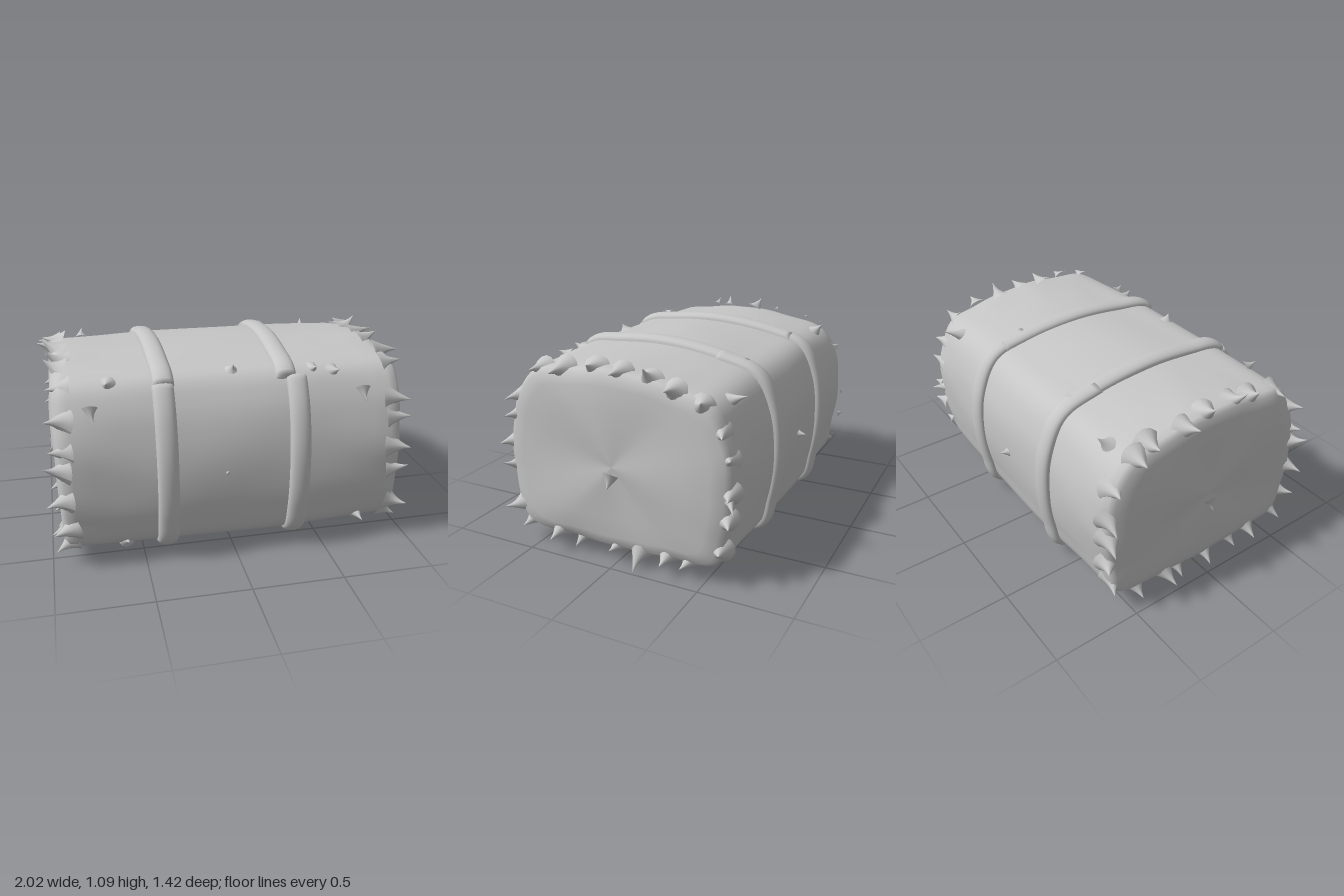
import * as THREE from 'three';
import { mergeGeometries } from 'three/addons/utils/BufferGeometryUtils.js';

const MID_Y = 0.53;

// Bale cross-section as (z, y) pairs, running along the bottom, up the back, over the top and down the front
const profile = new THREE.CatmullRomCurve3([
  [0.59, 0.088], [0.3, 0.06], [0, 0.042], [-0.3, 0.058], [-0.578, 0.088], [-0.63, 0.25], [-0.66, 0.5],
  [-0.635, 0.74], [-0.54, 0.925], [-0.35, 0.99], [0, 1.035], [0.3, 1.02], [0.5, 0.985],
  [0.59, 0.87], [0.65, 0.7], [0.675, 0.5], [0.655, 0.25],
].map(([z, y]) => new THREE.Vector3(0, y, z)), true, 'centripetal');

function outward(u) {
  const t = profile.getTangentAt(u);
  return new THREE.Vector3(0, t.z, -t.y).normalize();
}

function seeded(seed) {
  return () => (seed = (seed * 16807) % 2147483647) / 2147483647;
}

// Surface through rows of closed loops stacked towards +x
function loft(rows, cols, pointAt) {
  const pos = [], index = [];
  for (let i = 0; i < rows; i++) {
    for (let j = 0; j < cols; j++) {
      pos.push(...pointAt(i, j / cols).toArray());
      if (i === rows - 1) continue;
      const a = i * cols + j, b = i * cols + (j + 1) % cols;
      index.push(a, b, a + cols, b, b + cols, a + cols);
    }
  }
  const geo = new THREE.BufferGeometry();
  geo.setAttribute('position', new THREE.Float32BufferAttribute(pos, 3));
  geo.setIndex(index);
  geo.computeVertexNormals();
  return geo;
}

// Bale with slightly domed ends and soft wrinkles
function baleGeometry() {
  const half = [[0.95, 0], [0.95, 0.3], [0.948, 0.6], [0.942, 0.82], [0.93, 0.925], [0.905, 0.965], [0.86, 0.977],
    [0.76, 0.982], [0.62, 0.987], [0.48, 0.993], [0.32, 1], [0.16, 1.003]];
  const rows = [...half.map(([x, s]) => [-x, s]), [0, 1.005], ...half.slice().reverse()];
  return loft(rows.length, 140, (i, u) => {
    const [x, s] = rows[i];
    const p = profile.getPointAt(u);
    const a = u * Math.PI * 2;
    const lump = 0.004 * Math.sin(5 * a + x * 7) + 0.006 * Math.sin(13 * a - x * 9) * x * x;
    const k = s * (1 + lump);
    const dent = s * (1 - s) * 0.04 * Math.sin(3 * a + x) * Math.sign(x);
    return new THREE.Vector3(x + dent, MID_Y + (p.y - MID_Y) * k, p.z * k);
  });
}

// Rounded band around the bale, sunk below the surface where visibleAt is false
function strapGeometry(cx, lean, visibleAt) {
  const rows = 13;
  return loft(rows, 160, (i, u) => {
    const t = Math.PI * i / (rows - 1);
    const p = profile.getPointAt(u), n = outward(u);
    const lift = visibleAt(p) ? -0.015 + 0.05 * Math.pow(Math.sin(t), 0.6) : -0.03;
    const shift = lean * (p.z + 0.5);
    return p.addScaledVector(n, lift).setX(cx + shift - 0.058 * Math.cos(t));
  });
}

// Bent tuft of straw with a wide flared foot and a blunt tip, growing from base along dir
function tuft(base, dir, length, radius, bend) {
  const pts = [];
  for (let i = 0; i <= 8; i++) {
    const t = i / 8;
    pts.push(new THREE.Vector2(radius * (0.8 * Math.pow(1 - t, 2) + 0.2 * Math.sqrt(1 - t)), length * t));
  }
  const geo = new THREE.LatheGeometry(pts, 12);
  const p = geo.attributes.position;
  for (let i = 0; i < p.count; i++) {
    const t = p.getY(i) / length;
    p.setX(i, p.getX(i) + bend * length * t * t);
  }
  geo.computeVertexNormals();
  const q = new THREE.Quaternion().setFromUnitVectors(new THREE.Vector3(0, 1, 0), dir.clone().normalize());
  return geo.applyQuaternion(q).translate(base.x, base.y, base.z);
}

// Ring of tufts around one end, plus one in the middle of the end face
function endTufts(side, seed) {
  const rnd = seeded(seed), parts = [], count = 24;
  for (let i = 0; i < count; i++) {
    const u = ((i + 0.5 * rnd()) / count) % 1;
    const n = outward(u), p = profile.getPointAt(u);
    const s = 0.91 + 0.03 * rnd();
    const base = new THREE.Vector3(side * (0.85 + 0.04 * rnd()), MID_Y + (p.y - MID_Y) * s, p.z * s);
    const out = 0.35 + 0.3 * rnd();
    const dir = new THREE.Vector3(side, n.y * out, n.z * out);
    dir.z += (rnd() - 0.5) * 0.4;
    dir.y += (rnd() - 0.5) * 0.4;
    parts.push(tuft(base, dir, 0.11 + 0.03 * rnd(), 0.065 + 0.015 * rnd(), (rnd() - 0.5) * 0.6));
  }
  parts.push(tuft(new THREE.Vector3(side * 0.935, 0.48, 0.01), new THREE.Vector3(side * 0.5, -0.8, 0.1), 0.08, 0.05, 0));
  return mergeGeometries(parts);
}

// Loose tufts on the long sides: base, direction, length
function looseTufts() {
  const list = [
    [[-0.75, 0.87, 0.56], [0, -0.6, 0.6], 0.08], [[0.71, 0.87, 0.56], [0, -0.6, 0.6], 0.08],
    [[0, 0.5, -0.64], [0, 0.1, -1], 0.07], [[-0.06, 0.5, 0.66], [-0.3, 0, 1], 0.03],
    [[-0.08, 0.055, 0], [0, -1, 0], 0.055], [[0, 0.99, 0.47], [0, 1, 0.5], 0.05],
    [[0.72, 0.89, -0.53], [0.1, 0.4, -0.9], 0.13], [[-0.74, 0.93, -0.5], [0, 0.6, -0.6], 0.08],
    [[0.88, 0.47, -0.6], [0.9, -0.2, -0.8], 0.14], [[0.72, 0.12, 0.57], [0, -0.2, 1], 0.09],
    [[0.44, 0.97, 0.48], [0, 0.5, 0.8], 0.07], [[-0.6, 0.1, 0.57], [0, 0.2, 1], 0.06],
    [[0.55, 0.96, 0.5], [0.2, 0.4, 0.8], 0.07], [[-0.65, 0.97, 0.49], [-0.3, 0.3, 0.8], 0.07],
  ];
  return mergeGeometries(list.map(([b, d, len]) =>
    tuft(new THREE.Vector3(...b), new THREE.Vector3(...d), len, 0.045, 0.15)));
}

export function createModel() {
  const straw = new THREE.MeshStandardMaterial({ color: 0xc6c6c6 });
  straw.name = 'straw grey';
  const model = new THREE.Group();
  model.name = 'strawBale';

  function add(name, geometry) {
    const mesh = new THREE.Mesh(geometry, straw);
    mesh.name = name;
    model.add(mesh);
  }

  // Each strap has a top run that overlaps the run around the other sides
  const onTop = (p) => p.y > 0.955;
  const onSides = (p) => p.y < 0.975 || p.z < -0.3;

  add('bale', baleGeometry());
  add('rightStrapTop', strapGeometry(-0.37, 0, onTop));
  add('rightStrapSides', strapGeometry(-0.375, 0, onSides));
  add('leftStrapTop', strapGeometry(0.34, -0.055, onTop));
  add('leftStrapSides', strapGeometry(0.34, 0, onSides));
  add('rightEndTufts', endTufts(-1, 71));
  add('leftEndTufts', endTufts(1, 1234));
  add('looseTufts', looseTufts());
  return model;
}
